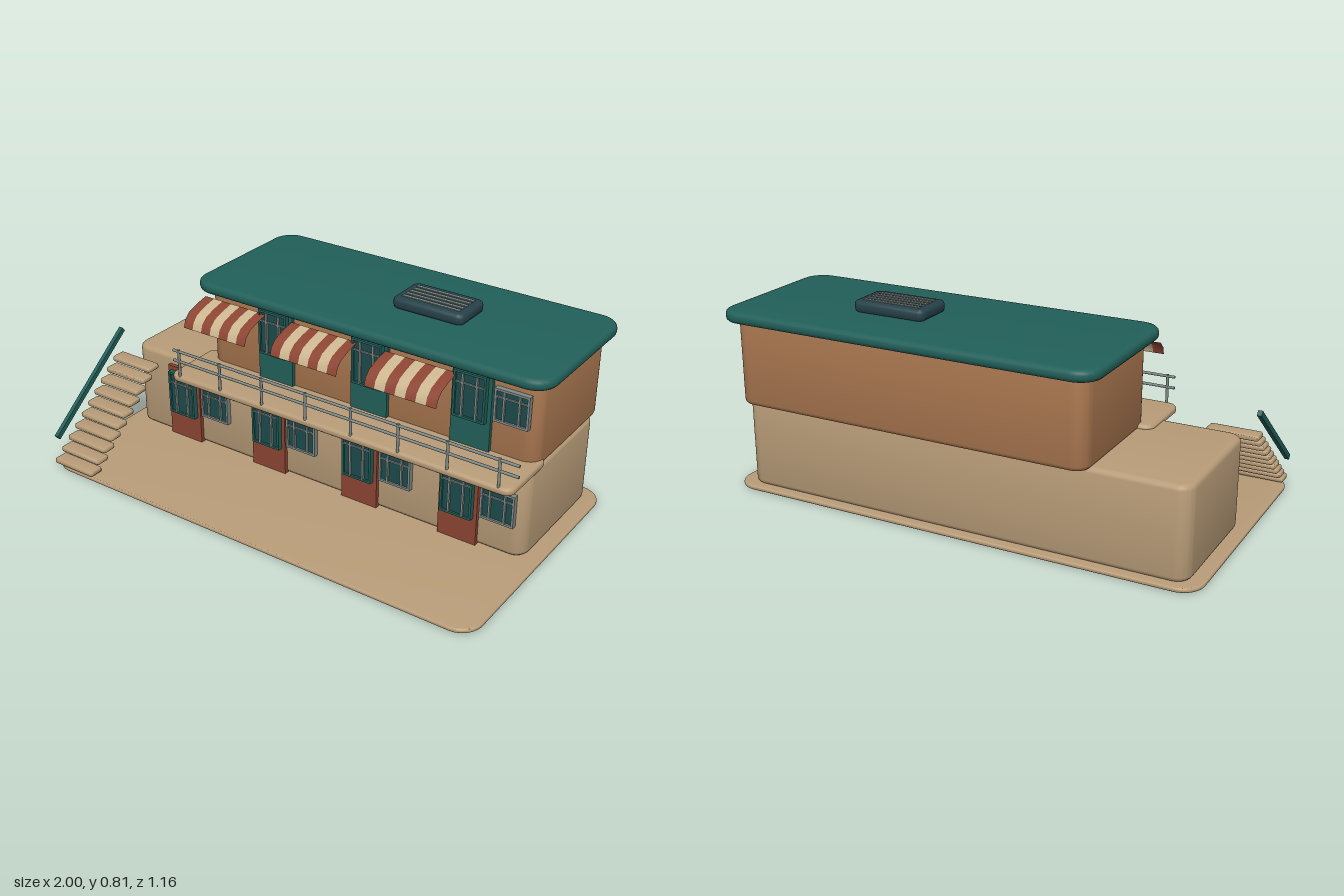
import * as THREE from 'three';
import { toCreasedNormals } from 'three/addons/utils/BufferGeometryUtils.js';

const mat = (name, color, side = THREE.FrontSide) => {
  const m = new THREE.MeshStandardMaterial({ color, side });
  m.name = name;
  return m;
};

export function createModel() {
  const sand = mat('sand', 0xb89c78);
  const brown = mat('brown', 0xa8764f);
  const teal = mat('teal', 0x22605a);
  const glass = mat('darkGlass', 0x1c4a4b);
  const slate = mat('slate', 0x27424a);
  const grey = mat('grey', 0x7f8a86);
  const red = mat('brickRed', 0x8c4432);
  const awningRed = mat('awningRed', 0x8c4432, THREE.DoubleSide);
  const cream = mat('cream', 0xcdb791, THREE.DoubleSide);

  const model = new THREE.Group();
  model.name = 'motel';
  const add = (name, geo, material, parent = model) => {
    const mesh = new THREE.Mesh(geo, material);
    mesh.name = name;
    parent.add(mesh);
    return mesh;
  };
  const group = (name) => {
    const g = new THREE.Group();
    g.name = name;
    model.add(g);
    return g;
  };

  // Box between two corners
  const box = (name, x0, x1, y0, y1, z0, z1, material, parent) =>
    add(name, new THREE.BoxGeometry(x1 - x0, y1 - y0, z1 - z0), material, parent)
      .position.set((x0 + x1) / 2, (y0 + y1) / 2, (z0 + z1) / 2);

  // Slab with rounded plan corners (radius r) and bevelled rims (b)
  const slab = (name, x0, x1, y0, y1, z0, z1, r, b, material, parent) => {
    const w = (x1 - x0) / 2 - b, d = (z1 - z0) / 2 - b, c = r - b;
    const s = new THREE.Shape();
    s.absarc(w - c, d - c, c, 0, Math.PI / 2);
    s.absarc(c - w, d - c, c, Math.PI / 2, Math.PI);
    s.absarc(c - w, c - d, c, Math.PI, Math.PI * 1.5);
    s.absarc(w - c, c - d, c, Math.PI * 1.5, Math.PI * 2);
    const geo = new THREE.ExtrudeGeometry(s, {
      depth: y1 - y0 - 2 * b, bevelEnabled: true, bevelSize: b, bevelThickness: b,
      bevelSegments: 3, curveSegments: 6,
    });
    geo.rotateX(-Math.PI / 2);
    geo.translate((x0 + x1) / 2, y0 + b, (z0 + z1) / 2);
    add(name, toCreasedNormals(geo, 0.7), material, parent);
  };

  // Round bar between two points
  const bar = (name, a, b, r, material, parent) => {
    const p = new THREE.Vector3(...a), q = new THREE.Vector3(...b);
    const m = add(name, new THREE.CylinderGeometry(r, r, p.distanceTo(q), 8), material, parent);
    m.position.copy(p).add(q).multiplyScalar(0.5);
    m.quaternion.setFromUnitVectors(new THREE.Vector3(0, 1, 0), q.sub(p).normalize());
  };

  // Main masses
  slab('groundPlate', -1, 1, 0, 0.018, -0.52, 0.575, 0.09, 0.006, sand);
  slab('lowerStorey', -0.95, 0.94, 0.016, 0.385, -0.487, 0.08, 0.06, 0.02, sand);
  slab('upperStorey', -0.575, 0.935, 0.375, 0.735, -0.533, 0.02, 0.06, 0.02, brown);
  slab('balcony', -0.63, 0.945, 0.367, 0.4, -0.06, 0.228, 0.04, 0.014, sand);
  slab('roof', -0.62, 0.98, 0.72, 0.766, -0.578, 0.077, 0.09, 0.018, teal);

  // Roof vent with slats
  const vent = group('roofVent');
  slab('ventBox', 0.19, 0.505, 0.764, 0.81, -0.345, -0.158, 0.03, 0.015, slate, vent);
  for (let i = 0; i < 5; i++) {
    const z = -0.305 + i * 0.0265;
    box('ventSlat', 0.22, 0.475, 0.805, 0.813, z - 0.007, z + 0.007, grey, vent);
  }

  // Framed glazing standing on a wall at depth z
  const glazing = (name, cx, y0, y1, w, z, frame) => {
    const g = group(name);
    const x0 = cx - w / 2, x1 = cx + w / 2, t = 0.009, f = z + 0.022;
    box('glass', x0 + t, x1 - t, y0 + t, y1 - t, z, z + 0.014, glass, g);
    box('frameLeft', x0, x0 + t, y0, y1, z, f, frame, g);
    box('frameRight', x1 - t, x1, y0, y1, z, f, frame, g);
    box('sill', x0 + t, x1 - t, y0, y0 + t, z, f, frame, g);
    box('head', x0 + t, x1 - t, y1 - t, y1, z, f, frame, g);
    const bars = z + 0.023, top = y1 - (y1 - y0) * 0.25;
    for (const k of [-0.22, 0.22]) {
      box('mullion', cx + k * w - 0.004, cx + k * w + 0.004, y0 + t, y1 - t, z, bars, grey, g);
    }
    box('transom', x0 + t, x1 - t, top - 0.003, top + 0.003, z, bars - 0.002, grey, g);
  };

  // Doors with a window to the right of each one
  const entry = (i, y, top, z, material, storey) => {
    const x = -0.672 + i * 0.446;
    box(storey + 'Door', x - 0.083, x + 0.083, y, top, z - 0.01, z + 0.016, material);
    const base = storey === 'lower' ? 0.135 : 0.52;
    glazing(storey + 'DoorWindow', x, base, base + 0.192, 0.135, z + 0.016, teal);
    glazing(storey + 'Window', x + 0.165, base + 0.02, base + 0.157, 0.142, z, grey);
  };
  for (let i = 0; i < 4; i++) entry(i, 0.016, 0.346, 0.08, red, 'lower');
  for (let i = 1; i < 4; i++) entry(i, 0.4, 0.722, 0.02, teal, 'upper');

  // Striped awnings: each stripe is a curved sheet
  const profile = [[0.045, 0.692], [0.1, 0.68], [0.152, 0.662], [0.178, 0.637], [0.188, 0.606]];
  for (const start of [-0.572, -0.138, 0.297]) {
    const awning = group('awning');
    for (let s = 0; s < 7; s++) {
      const geo = new THREE.PlaneGeometry(0.0443, 1, 1, profile.length - 1);
      const p = geo.attributes.position;
      for (let v = 0; v < p.count; v++) {
        const [z, y] = profile[Math.floor(v / 2)];
        p.setXYZ(v, start + 0.0443 * (s + 0.5) + p.getX(v), y, z);
      }
      geo.computeVertexNormals();
      add('awningStripe', geo, s % 2 ? cream : awningRed, awning);
    }
  }

  // Balcony railing
  const railing = group('railing');
  for (const y of [0.463, 0.508]) {
    bar('rail', [-0.61, y, 0.219], [0.967, y, 0.219], 0.006, grey, railing);
  }
  for (let i = 0; i < 8; i++) {
    const x = -0.58 + i * 0.21;
    bar('post', [x, 0.395, 0.219], [x, 0.515, 0.219], 0.006, grey, railing);
  }

  // Floating stair treads and sloping handrail
  const stairs = group('stairs');
  for (let i = 0; i < 10; i++) {
    const y = 0.02 + i * 0.0353, z = 0.547 - i * 0.0427;
    slab('tread', -0.985, -0.775, y, y + 0.022, z - 0.033, z + 0.033, 0.012, 0.007, sand, stairs);
  }
  const run = 0.43, rise = 0.335;
  const handrail = add('handrail',
    new THREE.BoxGeometry(0.018, 0.022, Math.hypot(run, rise)), teal, stairs);
  handrail.position.set(-0.988, 0.293, 0.333);
  handrail.rotation.x = Math.atan2(rise, run);

  return model;
}
